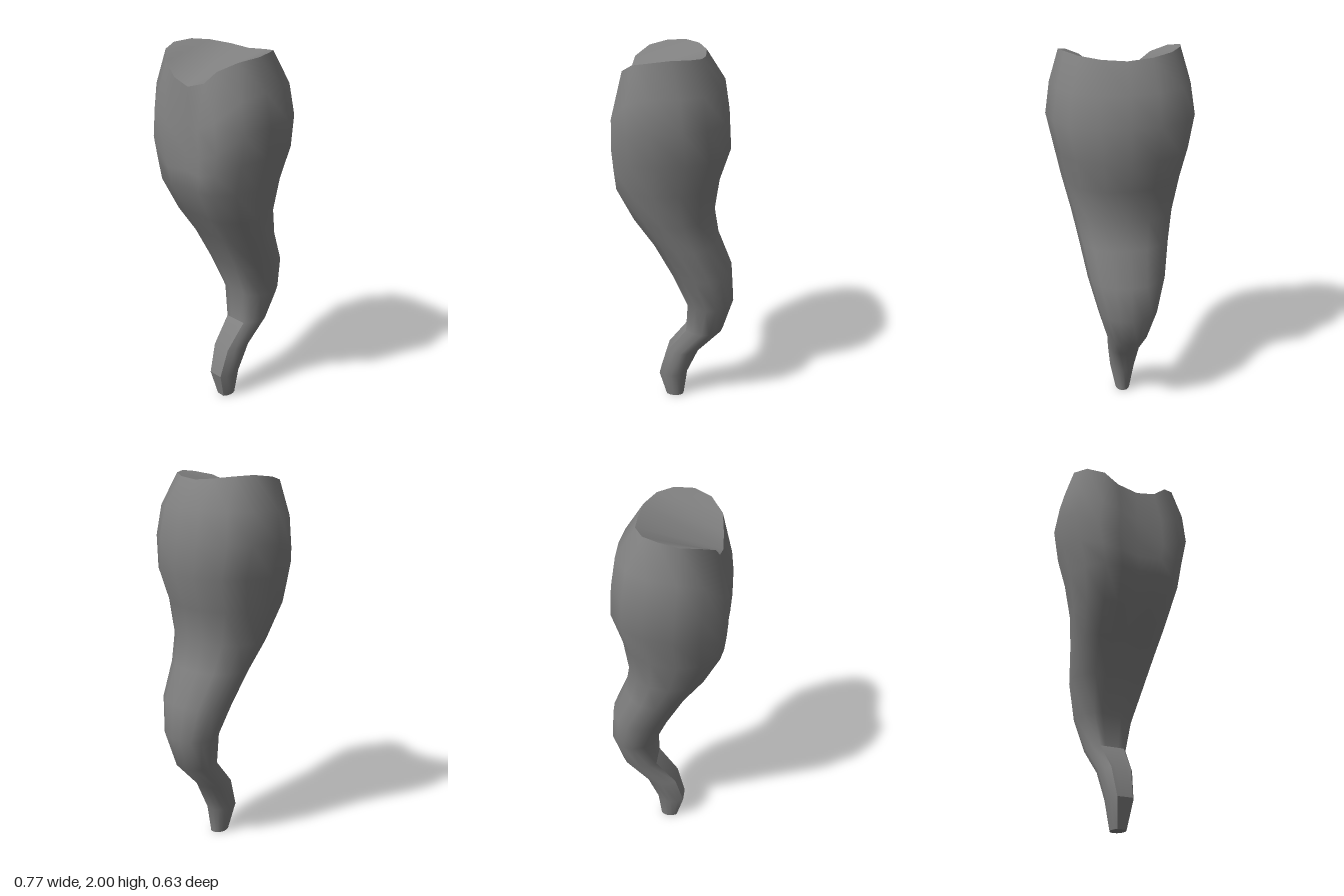
import * as THREE from 'three';

// Half cross-section from back centre to front centre, as [x, z] in units of half width and half depth
const upperHalf = [[0, -1], [0.39, -0.97], [0.76, -0.71], [0.93, -0.33], [1, 0.19], [0.875, 0.62], [0.62, 0.94], [0.34, 1], [0, 1]];
const lowerHalf = [[0, -1], [0.39, -0.93], [0.72, -0.69], [0.93, -0.33], [1, 0.1], [0.86, 0.6], [0.6, 1], [0.32, 1], [0, 1]];
// How far each section point follows the lowered front of its ring
const frontTilt = [0, 0, 0, 0, 0, 0.2, 0.75, 1, 1];

// Saddle-shaped rim, half of it, back to front
const rimHalf = [
  [0, 1.97, -0.145], [0.125, 1.98, -0.137], [0.23, 1.993, -0.088], [0.287, 2, -0.01], [0.31, 1.99, 0.09],
  [0.267, 1.97, 0.18], [0.187, 1.925, 0.243], [0.11, 1.86, 0.257], [0, 1.83, 0.265],
];

// Rings down the body: back height, front height, half width, back z, front z,
// depth of the groove at the front centre, blend to the lower section
const rings = [
  [1.83, 1.65, 0.36, -0.242, 0.313, 0.045, 0],
  [1.67, 1.5, 0.385, -0.267, 0.314, 0.032, 0],
  [1.5, 1.41, 0.35, -0.28, 0.308, 0.026, 0.1],
  [1.33, 1.32, 0.315, -0.225, 0.298, 0.02, 0.2],
  [1.15, 1.15, 0.272, -0.2, 0.21, 0.01, 0.4],
  [1.0, 1.0, 0.242, -0.226, 0.105, 0.005, 0.5],
  [0.82, 0.82, 0.209, -0.302, 0.01, 0, 0.6],
  [0.63, 0.63, 0.16, -0.315, -0.07, 0, 0.8],
  [0.45, 0.45, 0.11, -0.26, -0.06, 0, 1],
  [0.31, 0.31, 0.09, -0.13, 0.05, 0, 1],
  [0.15, 0.15, 0.07, -0.06, 0.095, 0, 1],
  [0, 0, 0.04, -0.04, 0.055, 0, 1],
];

const N = 16;
const lerp = THREE.MathUtils.lerp;

// Mirror a half section into a closed ring
const close = (half) => [...half, ...half.slice(1, -1).reverse().map(([x, y, z]) => [-x, y, z])];

function ringPoints([yBack, yFront, w, zBack, zFront, groove, blend]) {
  return close(upperHalf.map(([ux, uz], i) => {
    const nx = lerp(ux, lowerHalf[i][0], blend);
    const nz = lerp(uz, lowerHalf[i][1], blend);
    const z = lerp(zBack, zFront, (nz + 1) / 2) - (i === 8 ? groove : 0);
    return [nx * w, lerp(yBack, yFront, frontTilt[i]), z];
  }));
}

function surface(points, index, name) {
  // Keep only the vertices used, so that normals break at the patch border
  const map = new Map();
  const pos = [];
  const idx = index.map((i) => {
    if (!map.has(i)) {
      map.set(i, map.size);
      pos.push(...points[i]);
    }
    return map.get(i);
  });
  const geo = new THREE.BufferGeometry();
  geo.setAttribute('position', new THREE.Float32BufferAttribute(pos, 3));
  geo.setIndex(idx);
  geo.computeVertexNormals();
  const mesh = new THREE.Mesh(geo, new THREE.MeshStandardMaterial({ color: 0x808080 }));
  mesh.name = name;
  return mesh;
}

// Close a ring with strips running from back to front
function capIndex(facingUp) {
  const out = [];
  const tri = (a, b, c, flip) => out.push(...(flip ? [a, c, b] : [a, b, c]));
  for (const side of [1, -1]) {
    const at = (k) => (side > 0 ? k : (N - k) % N);
    const flip = (side > 0) !== facingUp;
    for (let i = 0; i < 4; i++) {
      tri(at(i), at(8 - i), at(i + 1), flip);
      if (i < 3) tri(at(i + 1), at(8 - i), at(7 - i), flip);
    }
  }
  return out;
}

export function createModel() {
  const group = new THREE.Group();
  group.name = 'curvedHorn';
  const loops = [close(rimHalf), ...rings.map(ringPoints)];
  const points = loops.flat();

  // Side walls, with the flat front facets near the tip kept apart for crisp edges
  const body = [], facet = [], tip = [];
  for (let r = 0; r < loops.length - 1; r++) {
    for (let k = 0; k < N; k++) {
      const a = r * N + k, b = r * N + (k + 1) % N;
      const front = k >= 6 && k < 10;
      const target = front && r >= 11 ? tip : front && r >= 9 ? facet : body;
      target.push(a, b, a + N, b, b + N, a + N);
    }
  }
  group.add(surface(points, body, 'body'));
  group.add(surface(points, facet, 'frontFacet'));
  group.add(surface(points, tip, 'tipFacet'));

  // End faces
  group.add(surface(loops[0], capIndex(true), 'topFace'));
  group.add(surface(loops[loops.length - 1], capIndex(false), 'tipFace'));
  return group;
}
